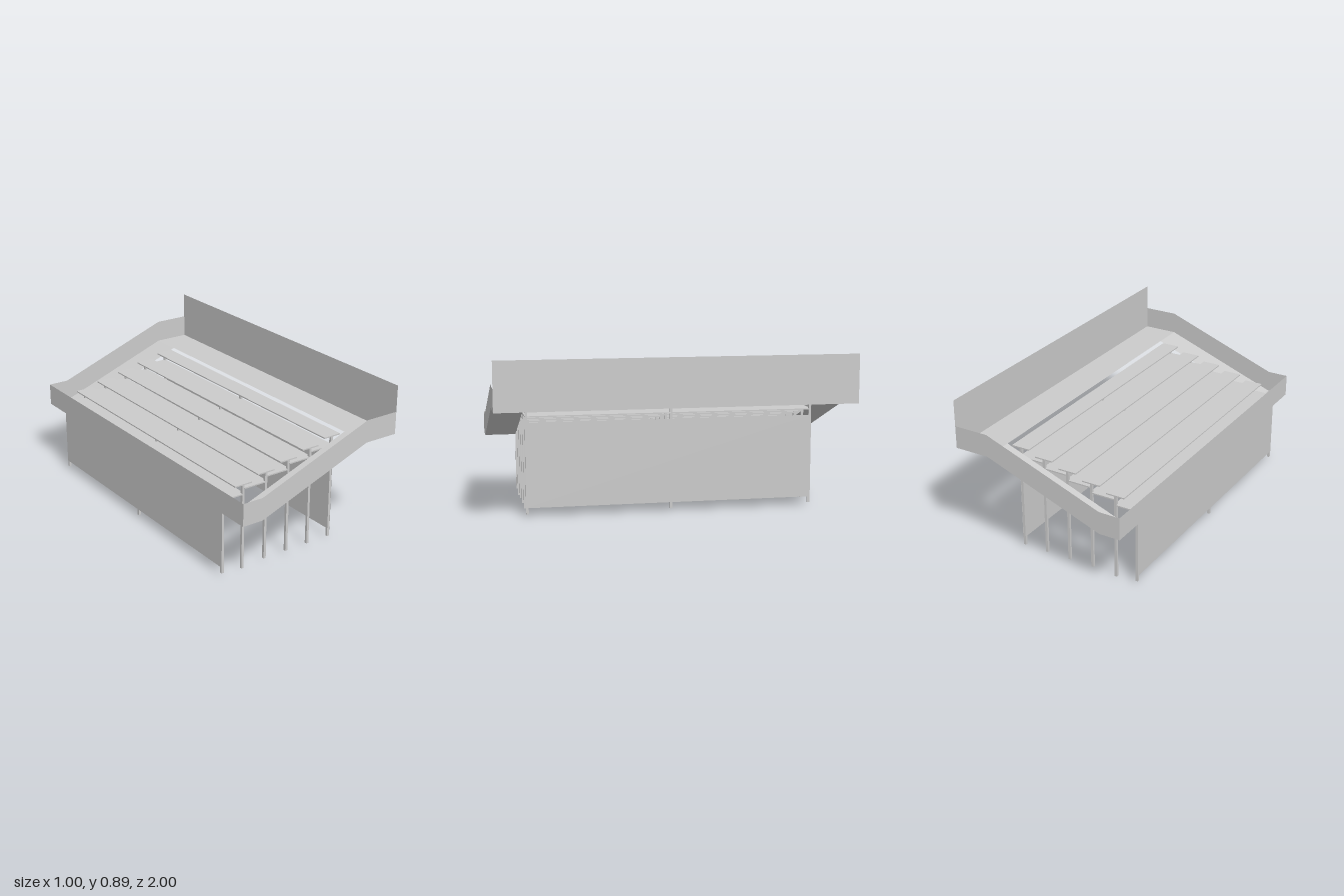
import * as THREE from 'three';

export function createModel() {
  const model = new THREE.Group();
  model.name = 'grandstand';
  const mat = new THREE.MeshStandardMaterial({ color: 0xcccccc, flatShading: true, side: THREE.DoubleSide });

  const add = (name, geometry) => {
    const mesh = new THREE.Mesh(geometry, mat);
    mesh.name = name;
    model.add(mesh);
    return mesh;
  };
  // Box given by its lower and upper limits
  const box = (name, x0, x1, y0, y1, z0, z1) =>
    add(name, new THREE.BoxGeometry(x1 - x0, y1 - y0, z1 - z0))
      .position.set((x0 + x1) / 2, (y0 + y1) / 2, (z0 + z1) / 2);
  // Thin sheet through four corners
  const sheet = (name, a, b, c, d) => {
    const g = new THREE.BufferGeometry();
    g.setAttribute('position', new THREE.Float32BufferAttribute([...a, ...b, ...c, ...a, ...c, ...d], 3));
    g.computeVertexNormals();
    add(name, g);
  };

  // Sloping walkway and parapet on both sides
  const path = [[-0.5, 0.365], [-0.38, 0.365], [0.3, 0.62], [0.5, 0.62]];
  const parapet = 0.127, inner = 0.823;
  for (const s of [1, -1]) {
    const side = s > 0 ? 'front' : 'back';
    for (let i = 0; i < 3; i++) {
      const [xa, ya] = path[i], [xb, yb] = path[i + 1];
      sheet(side + 'Walkway', [xa, ya, s * inner], [xa, ya, s], [xb, yb, s], [xb, yb, s * inner]);
      sheet(side + 'Parapet', [xa, ya, s], [xb, yb, s], [xb, yb + parapet, s], [xa, ya + parapet, s]);
    }
  }

  // Upper landing, tall upper wall and low lower wall
  sheet('upperLanding', [0.3, 0.62, -inner], [0.3, 0.62, inner], [0.5, 0.62, inner], [0.5, 0.62, -inner]);
  sheet('upperWall', [0.5, 0.62, 1], [0.5, 0.62, -1], [0.5, 0.895, -1], [0.5, 0.895, 1]);
  sheet('lowerWall', [-0.5, 0.365, -1], [-0.5, 0.365, 1], [-0.5, 0.492, 1], [-0.5, 0.492, -1]);

  // Five rows: a footboard, a seat plank and three posts each
  const half = 0.815, pitch = 0.146, rise = 0.031, post = 0.007;
  const posts = (x, y0, y1) => {
    for (const z of [-0.808, 0, 0.808]) box('post', x - post, x + post, y0, y1, z - post, z + post);
  };
  for (let row = 0; row < 5; row++) {
    const x = 0.222 - row * pitch, drop = row * rise;
    box('footboard', x - 0.138, x + 0.008, 0.553 - drop, 0.56 - drop, -half, half);
    box('seatPlank', x - 0.053, x + 0.054, 0.607 - drop, 0.614 - drop, -half, half);
    posts(x, row === 4 ? 0 : 0.013, 0.607 - drop);
  }
  posts(-0.49, 0.013, 0.429);

  // Cladding panels below the seating
  sheet('upperPanel', [0.231, 0.048, half], [0.231, 0.048, -half], [0.231, 0.523, -half], [0.231, 0.523, half]);
  sheet('lowerPanel', [-0.498, 0.048, -half], [-0.498, 0.048, half], [-0.498, 0.4, half], [-0.498, 0.4, -half]);

  return model;
}
